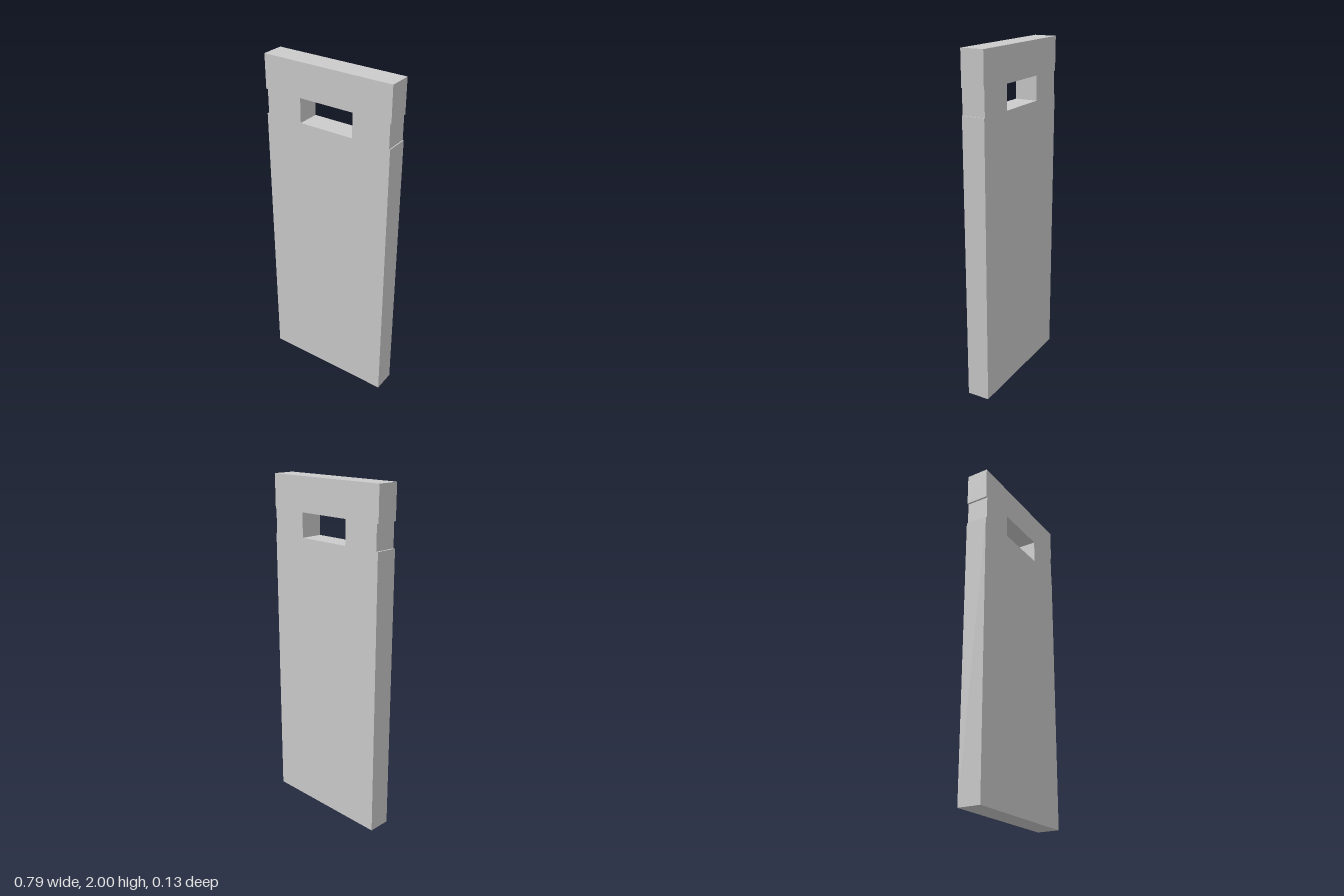
import * as THREE from 'three';

const HALF_W = 0.397, HEIGHT = 2, DEPTH = 0.134;
const SLOT_BOTTOM = 1.66, SLOT_TOP = 1.802;
const SLOT_LEFT = 0.168, SLOT_RIGHT = -0.165;
const NOTCH_LEFT = 0.391, NOTCH_RIGHT = -0.386; // shallow recesses in the side edges

const outline = (points) => points.map(([x, y]) => new THREE.Vector2(x, y));

export function createModel() {
  const group = new THREE.Group();
  group.name = 'slottedPanel';

  // Panel outline with a shallow notch on each side, level with the slot
  const shape = new THREE.Shape(outline([
    [-HALF_W, 0], [HALF_W, 0],
    [HALF_W, SLOT_BOTTOM], [NOTCH_LEFT, SLOT_BOTTOM],
    [NOTCH_LEFT, SLOT_TOP], [HALF_W, SLOT_TOP],
    [HALF_W, HEIGHT], [-HALF_W, HEIGHT],
    [-HALF_W, SLOT_TOP], [NOTCH_RIGHT, SLOT_TOP],
    [NOTCH_RIGHT, SLOT_BOTTOM], [-HALF_W, SLOT_BOTTOM],
  ]));

  // Rectangular slot through the panel
  shape.holes.push(new THREE.Path(outline([
    [SLOT_RIGHT, SLOT_BOTTOM], [SLOT_RIGHT, SLOT_TOP],
    [SLOT_LEFT, SLOT_TOP], [SLOT_LEFT, SLOT_BOTTOM],
  ])));

  const geometry = new THREE.ExtrudeGeometry(shape, { depth: DEPTH, bevelEnabled: false });
  geometry.translate(0, 0, -DEPTH / 2);

  const panel = new THREE.Mesh(
    geometry,
    new THREE.MeshStandardMaterial({ color: 0xcccccc, flatShading: true }),
  );
  panel.name = 'panel';
  group.add(panel);
  return group;
}
